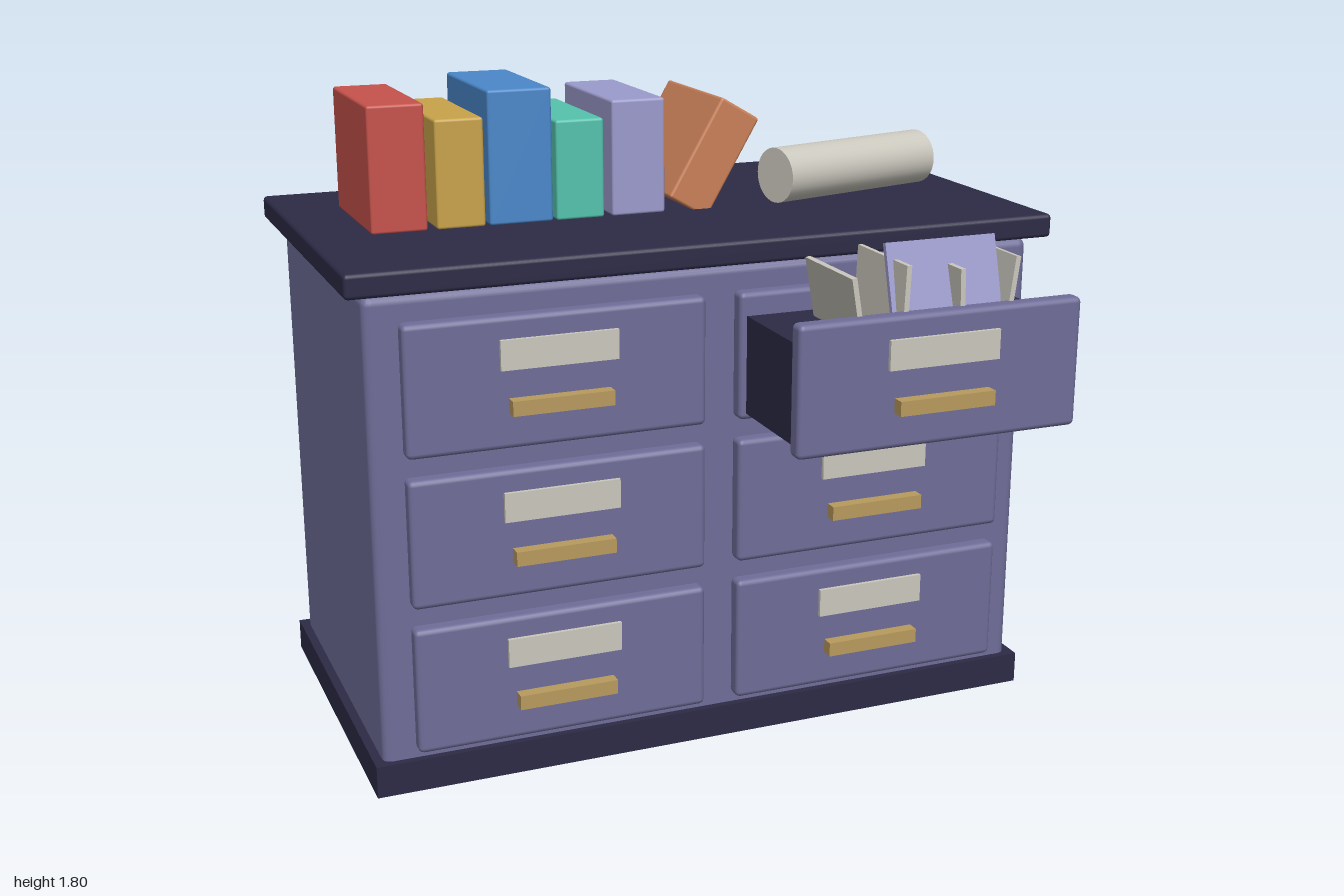
import * as THREE from 'three';
import { RoundedBoxGeometry } from 'three/addons/geometries/RoundedBoxGeometry.js';

const mat = (name, color) => {
  const m = new THREE.MeshStandardMaterial({ color });
  m.name = name;
  return m;
};

export function createModel() {
  const root = new THREE.Group();
  root.name = 'drawerCabinet';

  const body = mat('slatePurple', 0x6f6d98);
  const dark = mat('darkIndigo', 0x2d2b46);
  const paper = mat('paper', 0xcbc8be);
  const brass = mat('brass', 0xb89a5e);
  const red = mat('red', 0xc7524b);
  const yellow = mat('mustard', 0xc9a349);
  const blue = mat('blue', 0x4a88ca);
  const teal = mat('teal', 0x55c3ae);
  const lavender = mat('lavender', 0x9c9bcd);
  const orange = mat('orange', 0xc98058);

  // Box given by its size and centre, with optional rounded edges
  const box = (parent, name, material, [w, h, d], [x, y, z], round = 0) => {
    const geo = round ? new RoundedBoxGeometry(w, h, d, 2, round) : new THREE.BoxGeometry(w, h, d);
    const mesh = new THREE.Mesh(geo, material);
    mesh.name = name;
    mesh.position.set(x, y, z);
    parent.add(mesh);
    return mesh;
  };

  // Cabinet
  box(root, 'base', dark, [1.95, 0.09, 1.04], [0, 0.045, -0.2]);
  box(root, 'cabinetBody', body, [1.9, 1.35, 1.0], [0, 0.685, -0.2], 0.025);
  box(root, 'top', dark, [2, 0.066, 1.086], [0, 1.399, -0.202], 0.012);

  // Drawer front with label plate and handle; z is the back of the panel
  const drawerFront = (name, x, y, z, fittings = true) => {
    const g = new THREE.Group();
    g.name = name;
    g.position.set(x, y, z);
    box(g, 'panel', body, [0.816, 0.352, 0.054], [0, 0, 0.025], 0.015);
    if (fittings) {
      box(g, 'label', paper, [0.318, 0.08, 0.016], [0, 0.077, 0.055]);
      box(g, 'handle', brass, [0.275, 0.04, 0.04], [0, -0.059, 0.067]);
    }
    root.add(g);
  };
  [1.117, 0.708, 0.298].forEach((y, row) => {
    for (const side of [-1, 1]) {
      drawerFront('drawerFront', side * 0.456, y, 0.3, !(row === 0 && side === 1));
    }
  });

  // Pulled-out drawer
  drawerFront('openDrawerFront', 0.456, 1.117, 0.664);
  box(root, 'openDrawerBox', dark, [0.77, 0.27, 0.38], [0.452, 1.095, 0.48]);

  // File dividers: top x, top y, lean
  const dividers = [[0.212, 1.392, 0.17], [0.366, 1.412, -0.04], [0.522, 1.39, 0.03], [0.684, 1.41, -0.13]];
  for (const [x, top, lean] of dividers) {
    const h = 0.26;
    const m = box(root, 'fileDivider', paper, [0.014, h, 0.272],
      [x + Math.sin(lean) * h / 2, top - Math.cos(lean) * h / 2, 0.547]);
    m.rotation.z = lean;
  }
  const card = box(root, 'raisedCard', lavender, [0.32, 0.25, 0.014], [0.502, 1.333, 0.622]);
  card.rotation.x = -0.28;

  // Row of books: left edge, right edge, top
  const books = [
    [red, -0.829, -0.674, 1.773],
    [yellow, -0.648, -0.513, 1.727],
    [blue, -0.501, -0.321, 1.797],
    [teal, -0.31, -0.172, 1.706],
    [lavender, -0.148, 0.008, 1.752],
  ];
  for (const [m, x0, x1, top] of books) {
    const h = top - 1.43;
    box(root, 'book', m, [x1 - x0, h, 0.41], [(x0 + x1) / 2, 1.43 + h / 2, -0.295], 0.008);
  }
  const leaning = box(root, 'leaningBook', orange, [0.132, 0.315, 0.41], [0.158, 1.574, -0.295], 0.008);
  leaning.rotation.z = -0.53;

  // Rolled paper lying on the top
  const roll = new THREE.Group();
  roll.name = 'paperRoll';
  roll.position.set(0.612, 1.512, -0.162);
  roll.rotation.y = 0.262;
  const tube = new THREE.Mesh(new THREE.CylinderGeometry(0.079, 0.079, 0.55, 32), paper);
  tube.name = 'rolledSheet';
  tube.rotation.z = Math.PI / 2;
  roll.add(tube);
  root.add(roll);

  return root;
}
